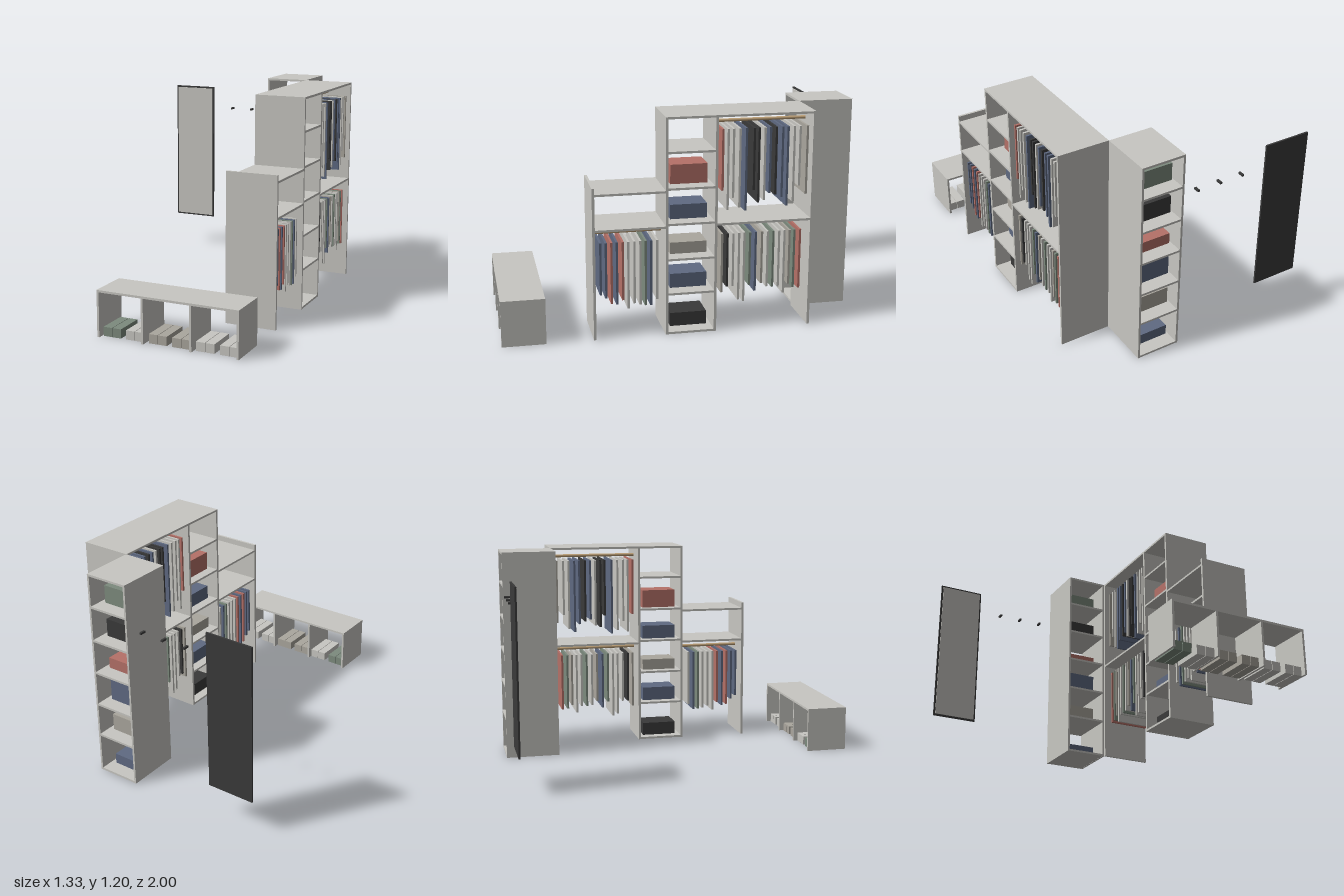
import * as THREE from 'three';

const mat = (name, color) => {
  const m = new THREE.MeshStandardMaterial({ color });
  m.name = name;
  return m;
};

export function createModel() {
  const root = new THREE.Group();
  root.name = 'walkInWardrobe';
  const M = {
    panel: mat('panelGrey', 0xc8c7c2),
    dark: mat('charcoal', 0x3a3a3a),
    red: mat('dustyRed', 0xb57168),
    blue: mat('slateBlue', 0x5f6a82),
    green: mat('sageGreen', 0x7d8b7e),
    taupe: mat('taupe', 0xaba79e),
    wood: mat('railWood', 0xc4a67c),
  };

  const group = (name) => {
    const g = new THREE.Group();
    g.name = name;
    root.add(g);
    return g;
  };
  // box given by its minimum and maximum on each axis
  const box = (parent, name, m, x0, x1, y0, y1, z0, z1) => {
    const mesh = new THREE.Mesh(new THREE.BoxGeometry(x1 - x0, y1 - y0, z1 - z0), M[m]);
    mesh.position.set((x0 + x1) / 2, (y0 + y1) / 2, (z0 + z1) / 2);
    mesh.name = name;
    parent.add(mesh);
  };

  const T = 0.012;
  const shelfTops = [0.013, 0.236, 0.43, 0.626, 0.82, 1.016, 1.2];

  // shelf tower, open at front and back
  const tower = group('shelfTower');
  const [tx0, tx1, tz0, tz1] = [0.117, 0.37, -1, -0.693];
  box(tower, 'towerSide', 'panel', tx0, tx0 + T, 0, 1.2, tz0, tz1);
  box(tower, 'towerSide', 'panel', tx1 - T, tx1, 0, 1.2, tz0, tz1);
  for (const y of shelfTops) box(tower, 'towerShelf', 'panel', tx0 + T, tx1 - T, y - T, y, tz0, tz1);
  [['blue', 0.06], ['taupe', 0.097], ['blue', 0.124], ['red', 0.062], ['dark', 0.1], ['green', 0.1]]
    .forEach(([c, h], i) => box(tower, 'storageBox', c, 0.14, 0.33, shelfTops[i], shelfTops[i] + h, -0.92, -0.77));

  // main wardrobe run, open on both long sides
  const run = group('wardrobeRun');
  const [x0, x1] = [0.37, 0.662];
  for (const [z, h] of [[-0.693, 1.2], [-0.163, 1.2], [0.103, 1.2], [0.495, 0.84]])
    box(run, 'uprightPanel', 'panel', x0, x1, 0, h, z, z + T + 0.002);
  for (const y of shelfTops) box(run, 'centreShelf', 'panel', x0, x1, y - T, y, -0.149, 0.103);
  for (const y of [1.2, 0.613]) box(run, 'hangingBayShelf', 'panel', x0, x1, y - T, y, -0.679, -0.163);
  for (const y of [0.807, 0.613]) box(run, 'lowBayShelf', 'panel', x0, x1, y - T, y, 0.117, 0.495);
  [['dark', 0.076], ['blue', 0.08], ['taupe', 0.064], ['blue', 0.08], ['red', 0.106]]
    .forEach(([c, h], i) => box(run, 'storageBox', c, 0.425, 0.578, shelfTops[i], shelfTops[i] + h, -0.125, 0.077));

  // rails with hanging clothes: [z, hem height, colour]
  const hang = (name, railY, z0, z1, top, clothes) => {
    const g = group(name);
    const rail = new THREE.Mesh(new THREE.CylinderGeometry(0.009, 0.009, z1 - z0, 12), M.wood);
    rail.rotation.x = Math.PI / 2;
    rail.position.set(0.516, railY, (z0 + z1) / 2);
    rail.name = 'hangingRail';
    g.add(rail);
    for (const [z, hem, c] of clothes)
      box(g, 'garment', c, 0.392, 0.642, hem, top, z - 0.006, z + 0.006);
  };
  hang('upperClothes', 1.141, -0.679, -0.163, 1.12, [
    [-0.193, 0.787, 'red'], [-0.222, 0.68, 'panel'], [-0.251, 0.745, 'panel'], [-0.286, 0.69, 'panel'],
    [-0.321, 0.67, 'blue'], [-0.364, 0.782, 'dark'], [-0.39, 0.712, 'dark'], [-0.422, 0.723, 'panel'],
    [-0.452, 0.76, 'blue'], [-0.484, 0.75, 'dark'], [-0.519, 0.734, 'blue'], [-0.548, 0.686, 'blue'],
    [-0.583, 0.707, 'panel'], [-0.615, 0.793, 'panel'], [-0.655, 0.745, 'taupe'],
  ]);
  hang('lowerClothes', 0.569, -0.679, -0.163, 0.546, [
    [-0.195, 0.214, 'taupe'], [-0.225, 0.246, 'dark'], [-0.257, 0.246, 'panel'], [-0.289, 0.166, 'panel'],
    [-0.318, 0.155, 'panel'], [-0.35, 0.246, 'green'], [-0.382, 0.209, 'blue'], [-0.417, 0.252, 'taupe'],
    [-0.449, 0.23, 'panel'], [-0.481, 0.225, 'green'], [-0.513, 0.225, 'panel'], [-0.543, 0.187, 'panel'],
    [-0.572, 0.236, 'taupe'], [-0.599, 0.214, 'green'], [-0.631, 0.209, 'red'],
  ]);
  hang('lowBayClothes', 0.557, 0.117, 0.495, 0.535, [
    [0.465, 0.246, 'blue'], [0.436, 0.225, 'blue'], [0.406, 0.193, 'red'], [0.377, 0.187, 'blue'],
    [0.345, 0.209, 'red'], [0.316, 0.16, 'panel'], [0.283, 0.187, 'panel'], [0.251, 0.177, 'panel'],
    [0.222, 0.171, 'green'], [0.193, 0.171, 'blue'], [0.16, 0.203, 'panel'],
  ]);

  // shoe bench with three open bays
  const bench = group('shoeBench');
  box(bench, 'benchTop', 'panel', -0.142, 0.662, 0.244, 0.256, 0.763, 1);
  for (const x of [-0.142, 0.117, 0.391, 0.65])
    box(bench, 'benchUpright', 'panel', x, x + T, 0, 0.244, 0.763, 1);
  ['green', 'panel', 'taupe', 'taupe', 'panel', 'panel'].forEach((c, i) => {
    for (const s of [0, 0.053]) {
      const x = -0.121 + i * 0.1337 + s;
      box(bench, 'shoe', c, x, x + 0.05, 0, 0.05, 0.79, 0.97);
    }
  });

  // wall mirror: dark backing with a pane on its front
  const mirror = group('wallMirror');
  box(mirror, 'mirrorFrame', 'dark', -0.664, -0.392, 0.198, 1.088, -1, -0.99);
  box(mirror, 'mirrorPane', 'panel', -0.654, -0.402, 0.208, 1.078, -0.99, -0.985);

  // coat hooks
  const hooks = group('coatHooks');
  for (const x of [-0.251, -0.112, 0.027])
    box(hooks, 'coatHook', 'dark', x - 0.006, x + 0.006, 0.95, 0.961, -1, -0.967);

  return root;
}
